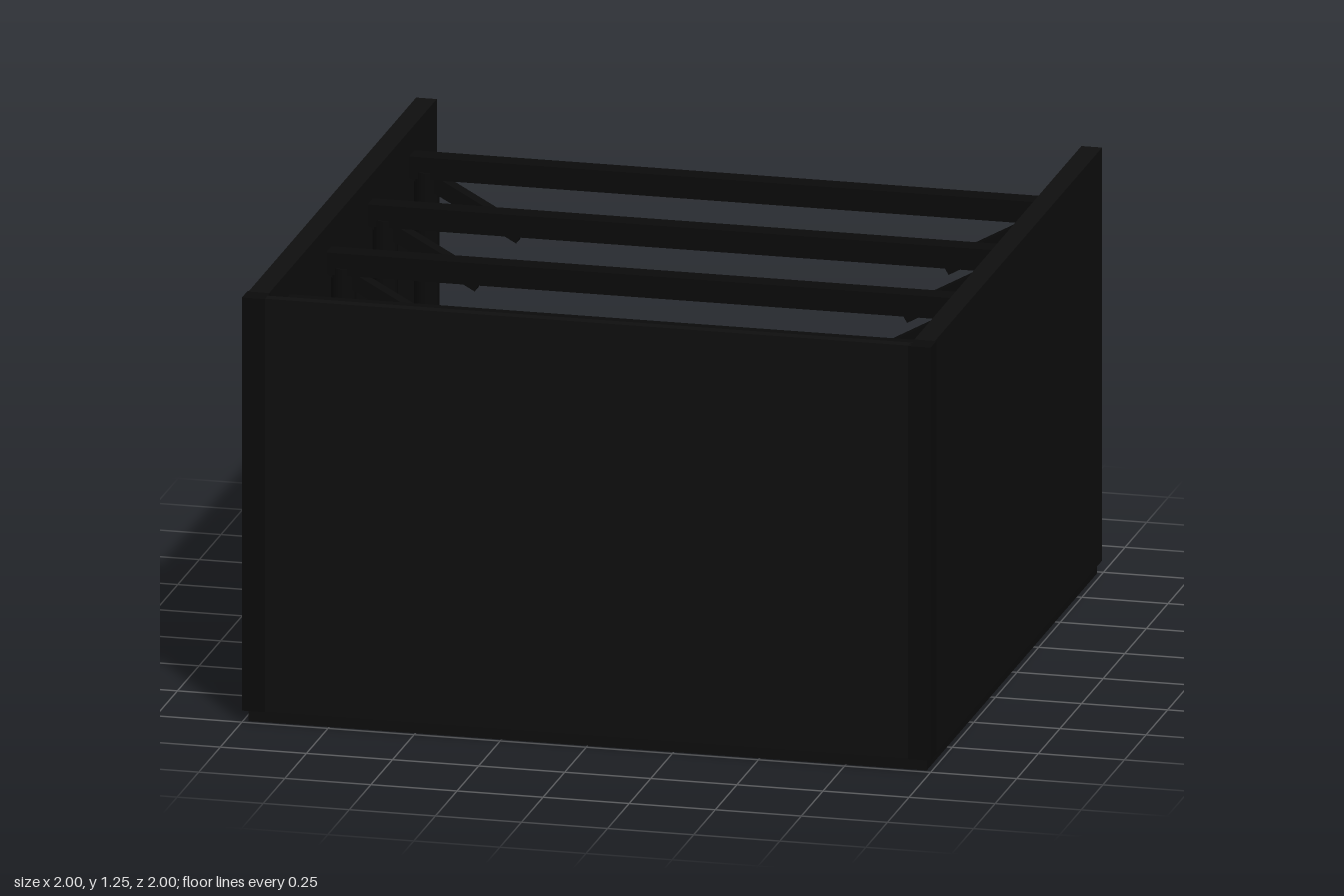
import * as THREE from 'three';

const mat = (name, color) => {
  const m = new THREE.MeshStandardMaterial({ color });
  m.name = name;
  return m;
};

export function createModel() {
  const wall = mat('black wall', 0x0f0f0f);
  const stone = mat('dark floor', 0x0d0d0d);
  const iron = mat('dark iron', 0x0b0b0b);
  const gold = mat('brass', 0xb98f40);
  const orange = mat('orange', 0xd2451a);
  const green = mat('dark green', 0x12342b);

  const root = new THREE.Group();
  const group = (name, parent = root) => {
    const g = new THREE.Group();
    g.name = name;
    parent.add(g);
    return g;
  };
  const add = (parent, name, geo, m, x, y, z) => {
    const mesh = new THREE.Mesh(geo, m);
    mesh.name = name;
    mesh.position.set(x, y, z);
    parent.add(mesh);
    return mesh;
  };
  // box given by its lower and upper corners
  const box = (parent, name, m, x0, x1, y0, y1, z0, z1) =>
    add(parent, name, new THREE.BoxGeometry(x1 - x0, y1 - y0, z1 - z0), m,
      (x0 + x1) / 2, (y0 + y1) / 2, (z0 + z1) / 2);

  // Room shell, open at the back
  const room = group('room');
  box(room, 'floorSlab', stone, -0.985, 0.985, 0, 0.034, -0.985, 0.985);
  const tiles = group('floorTiles', room);
  for (let i = 0; i < 8; i++) {
    for (let j = 0; j < 8; j++) {
      const x = -0.935 + i * 0.234, z = -0.98 + j * 0.243;
      box(tiles, 'floorTile', wall, x + 0.004, x + 0.23, 0.03, 0.04, z + 0.004, z + 0.239);
    }
  }
  box(room, 'frontWall', wall, -0.94, 0.94, 0.034, 1.25, 0.965, 0.996);
  for (const s of [-1, 1]) {
    add(room, 'sideWall', new THREE.BoxGeometry(0.06, 1.216, 1.94), wall, s * 0.966, 0.642, -0.03);
    add(room, 'cornerPost', new THREE.BoxGeometry(0.066, 1.216, 0.066), iron, s * 0.967, 0.642, 0.967);
  }

  // Columns with brass rings, braces and cross beams
  const frame = group('roofFrame');
  const columnGeo = new THREE.CylinderGeometry(0.036, 0.036, 1.1, 16);
  const baseGeo = new THREE.CylinderGeometry(0.046, 0.056, 0.08, 16);
  const ringGeo = new THREE.TorusGeometry(0.038, 0.006, 8, 24).rotateX(Math.PI / 2);
  for (let i = 0; i < 4; i++) {
    const z = -0.712 + i * 0.48;
    box(frame, 'crossBeam', iron, -0.945, 0.945, 1.11, 1.175, z - 0.031, z + 0.031);
    for (const s of [-1, 1]) {
      const x = s * 0.893;
      add(frame, 'column', columnGeo, iron, x, 0.58, z);
      add(frame, 'columnBase', baseGeo, iron, x, 0.08, z);
      for (const y of [0.29, 0.65, 1.0]) add(frame, 'columnRing', ringGeo, gold, x, y, z);
      const brace = add(frame, 'brace', new THREE.BoxGeometry(0.36, 0.045, 0.045), iron, s * 0.775, 1.045, z);
      brace.rotation.z = s * 0.5;
    }
  }

  // Central table with a green bed
  const table = group('table');
  box(table, 'plinth', iron, -0.46, 0.46, 0.036, 0.09, -0.42, 0.34);
  box(table, 'tableBody', iron, -0.43, 0.43, 0.09, 0.355, -0.37, 0.28);
  box(table, 'backLip', iron, -0.36, 0.36, 0.3, 0.345, -0.45, -0.37);
  box(table, 'greenBed', green, -0.34, 0.34, 0.35, 0.373, -0.345, 0.012);
  box(table, 'darkBed', wall, -0.34, 0.34, 0.35, 0.388, 0.012, 0.28);
  box(table, 'edgeBar', gold, -0.34, 0.34, 0.345, 0.385, -0.376, -0.345);
  const studGeo = new THREE.SphereGeometry(0.007, 10, 6);
  for (let i = 0; i < 14; i++) add(table, 'stud', studGeo, gold, -0.325 + i * 0.05, 0.347, -0.42);

  // Orange slats and studded side rails
  const rivetGeo = new THREE.CylinderGeometry(0.008, 0.008, 0.004, 10);
  for (const s of [-1, 1]) {
    const side = group(s > 0 ? 'leftSide' : 'rightSide');
    for (let i = 0; i < 9; i++)
      add(side, 'orangeSlat', new THREE.BoxGeometry(0.075, 0.03, 0.053), orange, s * 0.387, 0.368, -0.322 + i * 0.0625);
    add(side, 'sidePanel', new THREE.BoxGeometry(0.036, 0.54, 0.64), iron, s * 0.453, 0.3, -0.08);
    add(side, 'sideRail', new THREE.BoxGeometry(0.044, 0.018, 0.66), gold, s * 0.454, 0.576, -0.078);
    for (let i = 0; i < 7; i++) add(side, 'rivet', rivetGeo, iron, s * 0.454, 0.586, -0.37 + i * 0.105);
  }

  // Tall board in front of the table with a rounded brass crown
  const board = group('tallBoard');
  box(board, 'boardPanel', iron, -0.48, 0.48, 0.036, 0.725, 0.28, 0.365);
  const crown = new THREE.CylinderGeometry(0.045, 0.045, 0.89, 20, 1, false, 0, Math.PI).rotateZ(Math.PI / 2);
  add(board, 'crown', crown, gold, 0, 0.725, 0.312);
  box(board, 'crownBase', gold, -0.445, 0.445, 0.715, 0.742, 0.264, 0.357);
  box(board, 'middleTrim', gold, -0.42, 0.42, 0.665, 0.69, 0.262, 0.281);
  box(board, 'lowerTrim', gold, -0.36, 0.36, 0.39, 0.425, 0.262, 0.281);

  // Brass lamps beside the board
  for (const s of [-1, 1]) {
    const lamp = add(root, 'lamp', new THREE.SphereGeometry(0.023, 16, 12), gold, s * 0.62, 0.7, 0.29);
    lamp.scale.y = 1.4;
    add(root, 'lampPole', new THREE.CylinderGeometry(0.014, 0.018, 0.64, 12), iron, s * 0.62, 0.355, 0.29);
  }

  // Foot rail with collars and posts
  const rail = group('footRail');
  add(rail, 'railRod', new THREE.CylinderGeometry(0.01, 0.01, 0.96, 14).rotateZ(Math.PI / 2), gold, 0, 0.335, -0.538);
  const collarGeo = new THREE.CylinderGeometry(0.017, 0.017, 0.01, 14).rotateZ(Math.PI / 2);
  for (let i = 0; i < 5; i++) {
    const x = -0.475 + i * 0.2375;
    add(rail, 'collar', collarGeo, gold, x, 0.335, -0.538);
    if (i % 4 === 0) add(rail, 'railPost', new THREE.CylinderGeometry(0.008, 0.008, 0.29, 10), iron, x, 0.18, -0.538);
  }
  return root;
}
